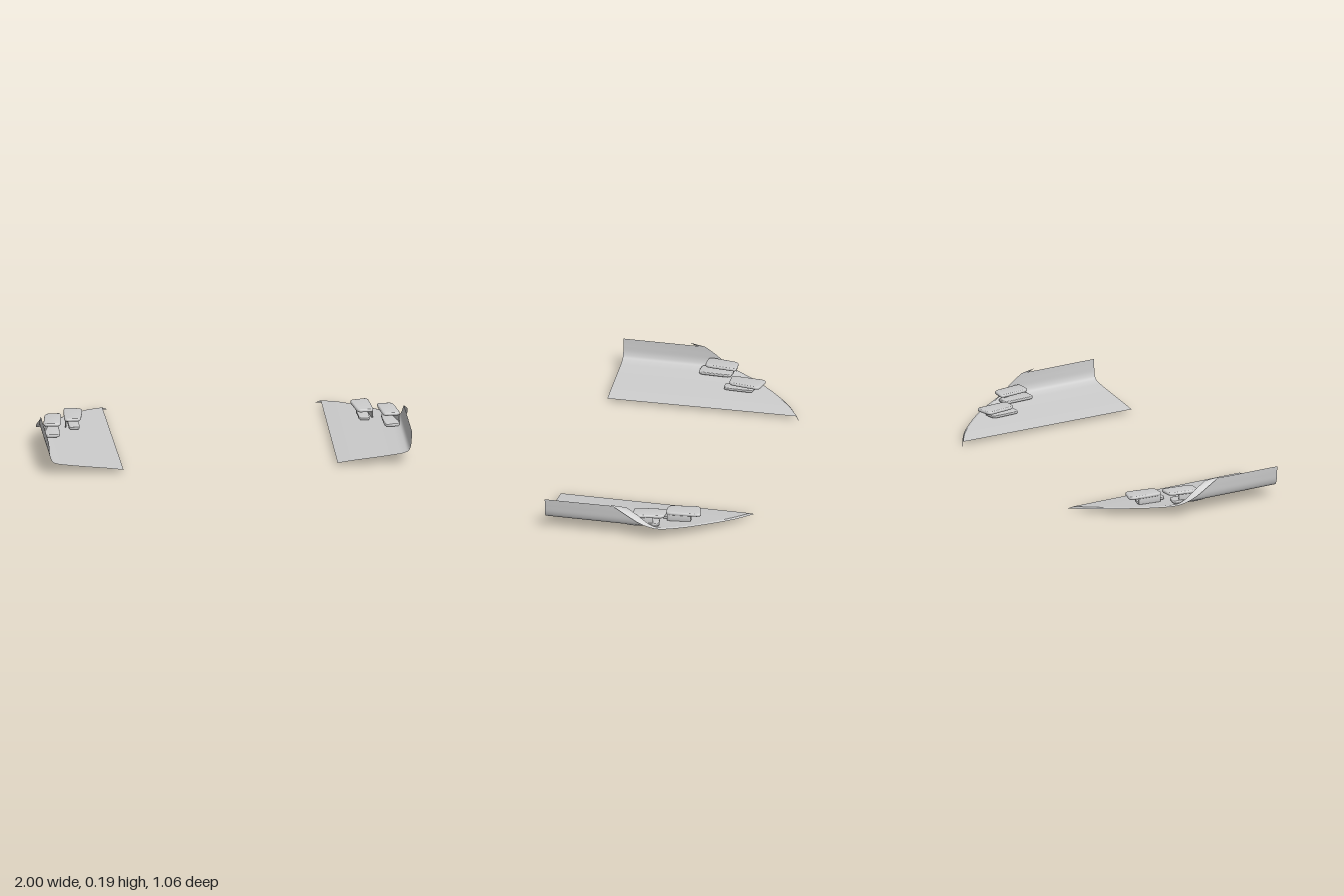
import * as THREE from 'three';
import { toCreasedNormals } from 'three/addons/utils/BufferGeometryUtils.js';

const material = new THREE.MeshStandardMaterial({ color: 0xcccccc, side: THREE.DoubleSide });
const v = (x, y, z) => new THREE.Vector3(x, y, z);

// Ruled surface between two rows of points
function strip(rowA, rowB, steps) {
  const pos = [], index = [], w = steps + 1;
  rowA.forEach((a, i) => {
    for (let j = 0; j <= steps; j++) pos.push(...a.clone().lerp(rowB[i], j / steps).toArray());
    if (i === 0) return;
    for (let j = 0; j < steps; j++) {
      const p = (i - 1) * w + j, q = p + w;
      index.push(p, p + 1, q, q, p + 1, q + 1);
    }
  });
  const g = new THREE.BufferGeometry();
  g.setAttribute('position', new THREE.Float32BufferAttribute(pos, 3));
  g.setIndex(index);
  g.computeVertexNormals();
  return g;
}

// Horizontal slab with rounded edges from a plan outline of [x, z] points
function slab(outline, y, thickness, bevel) {
  const pts = outline.map(([x, z]) => new THREE.Vector2(x, -z));
  const shape = new THREE.Shape();
  const n = pts.length;
  pts.forEach((p, i) => {
    const a = p.clone().lerp(pts[(i + n - 1) % n], 0.2);
    const b = p.clone().lerp(pts[(i + 1) % n], 0.2);
    if (i === 0) shape.moveTo(a.x, a.y); else shape.lineTo(a.x, a.y);
    shape.quadraticCurveTo(p.x, p.y, b.x, b.y);
  });
  shape.closePath();
  const g = new THREE.ExtrudeGeometry(shape, {
    depth: thickness - 2 * bevel, bevelThickness: bevel, bevelSize: bevel,
    bevelOffset: -bevel, bevelSegments: 3, curveSegments: 5,
  });
  g.rotateX(-Math.PI / 2);
  g.translate(0, y + bevel, 0);
  return toCreasedNormals(g, 0.7);
}

function add(parent, name, geometry) {
  const mesh = new THREE.Mesh(geometry, material);
  mesh.name = name;
  parent.add(mesh);
  return mesh;
}

function createSide() {
  const side = new THREE.Group();

  // Rear edge of the shell, from the inner floor corner to the top of the wall
  const rearCurve = new THREE.CatmullRomCurve3([
    v(0.59, 0.018, -0.51), v(0.68, 0.03, -0.445), v(0.79, 0.042, -0.33), v(0.895, 0.055, -0.2),
    v(0.945, 0.064, -0.11), v(0.966, 0.075, -0.07), v(0.976, 0.1, -0.03),
    v(0.979, 0.14, 0.02), v(0.98, 0.18, 0.08),
  ]);
  const rear = rearCurve.getPoints(48);
  const front = rear.map((p, i) => v(p.x - 0.012 * (1 - i / 48), p.y, 0.53));
  add(side, 'floorAndWall', strip(front, rear, 8));

  // Flared lip along the rear edge
  const lipCurve = new THREE.CatmullRomCurve3([
    v(0.56, 0, -0.53), v(0.68, 0.021, -0.456), v(0.8, 0.038, -0.338), v(0.91, 0.052, -0.2),
    v(0.973, 0.064, -0.09), v(0.99, 0.08, -0.04), v(1, 0.104, 0.01),
    v(1, 0.145, 0.08), v(0.99, 0.19, 0.165),
  ]);
  add(side, 'rearLip', strip(rear, lipCurve.getPoints(48), 2));

  // Two raised pads, each standing on a base by slim supports
  const pads = [
    { name: 'innerPad', y: 0.082, base: 0.048,
      top: [[0.72, -0.27], [0.822, -0.295], [0.836, -0.1], [0.747, -0.1]],
      foot: [[0.748, -0.225], [0.81, -0.24], [0.812, -0.07], [0.755, -0.07]] },
    { name: 'outerPad', y: 0.112, base: 0.064,
      top: [[0.85, -0.12], [0.94, -0.115], [0.965, 0.055], [0.87, 0.06]],
      foot: [[0.87, -0.08], [0.94, -0.09], [0.96, 0.092], [0.876, 0.096]] },
  ];
  for (const p of pads) {
    const pad = new THREE.Group();
    pad.name = p.name;
    add(pad, 'topPlate', slab(p.top, p.y, 0.018, 0.007));
    add(pad, 'basePlate', slab(p.foot, p.base, 0.016, 0.004));
    // Supports follow the outer side of the top plate
    const [, a, b] = p.top;
    const height = p.y - p.base;
    const arm = [[a[0] - 0.012, a[1] + 0.06], [a[0] - 0.004, a[1] + 0.06],
      [b[0] - 0.004, b[1] - 0.01], [b[0] - 0.012, b[1] - 0.01]];
    add(pad, 'sideSupport', slab(arm, p.base, height + 0.004, 0.001));
    side.add(pad);
  }
  return side;
}

export function createModel() {
  const model = new THREE.Group();
  const left = createSide();
  left.name = 'leftSide';
  const right = createSide();
  right.name = 'rightSide';
  right.scale.x = -1;
  model.add(left, right);
  return model;
}
